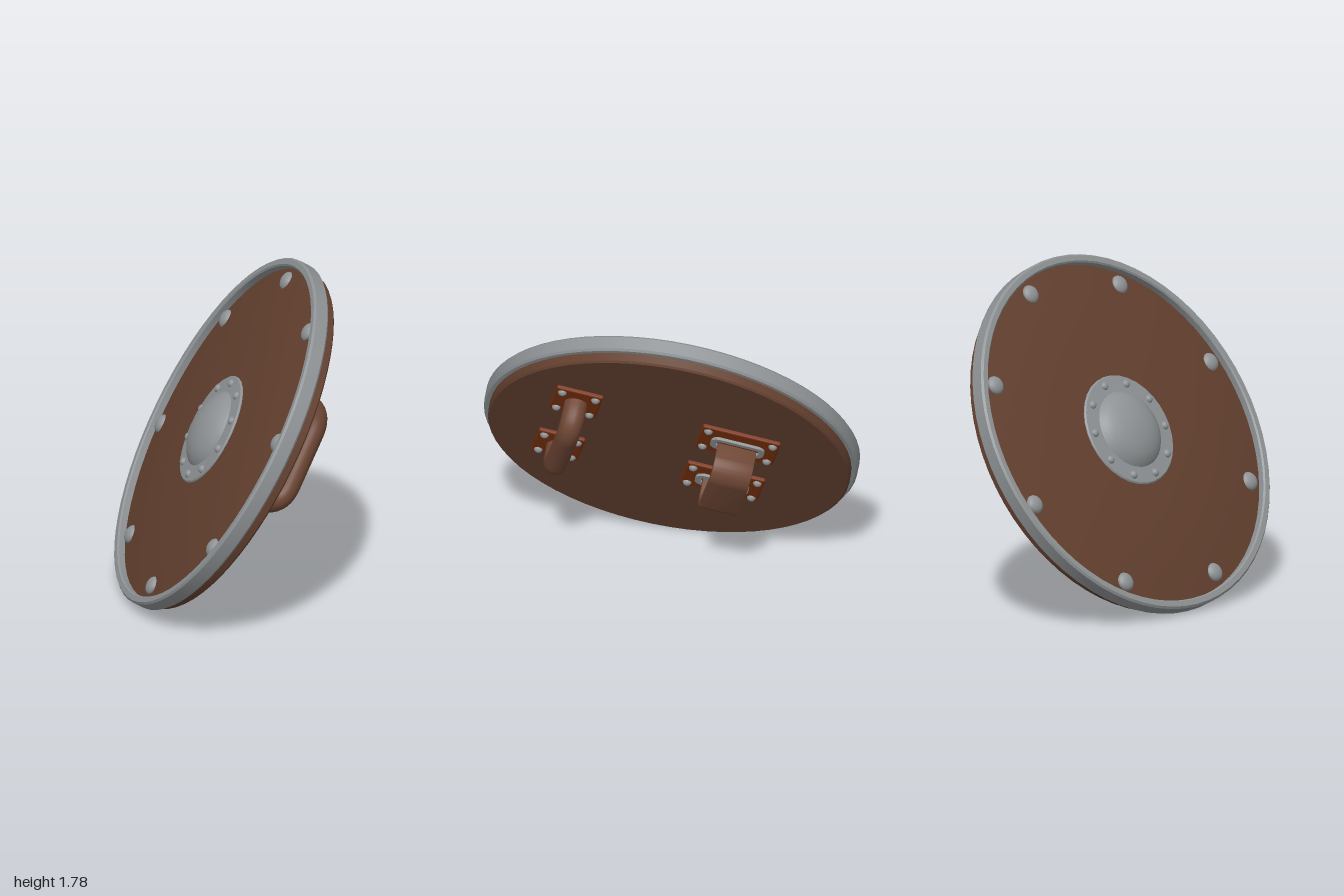
import * as THREE from 'three';
import { toCreasedNormals } from 'three/addons/utils/BufferGeometryUtils.js';
import { RoundedBoxGeometry } from 'three/addons/geometries/RoundedBoxGeometry.js';

const material = (name, color) => {
  const m = new THREE.MeshStandardMaterial({ color });
  m.name = name;
  return m;
};

export function createModel() {
  const wood = material('darkWood', 0x63402f);
  const leather = material('brownLeather', 0x6e4634);
  const patch = material('rustLeather', 0x782f0c);
  const metal = material('greyMetal', 0x8e9294);

  const model = new THREE.Group();
  model.name = 'roundShield';

  // Shield space: z points out of the front face, y up along the disc
  const shield = new THREE.Group();
  shield.name = 'shield';
  const n = new THREE.Vector3(-0.852, 0.497, 0.165).normalize();
  const v = new THREE.Vector3(n.y, -n.x, 0).normalize();
  const u = new THREE.Vector3().crossVectors(v, n);
  shield.quaternion.setFromRotationMatrix(new THREE.Matrix4().makeBasis(u, v, n));
  shield.position.set(-0.018, 0.899, 0);
  model.add(shield);

  const add = (parent, name, geometry, mat, x = 0, y = 0, z = 0) => {
    const mesh = new THREE.Mesh(geometry, mat);
    mesh.name = name;
    mesh.position.set(x, y, z);
    parent.add(mesh);
    return mesh;
  };

  // Turned shape around the z axis; profile holds [radius, height] pairs
  const turned = (profile, segments, crease = 0.5) => {
    const g = new THREE.LatheGeometry(profile.map(([r, h]) => new THREE.Vector2(r, h)), segments);
    g.rotateX(Math.PI / 2);
    return toCreasedNormals(g, crease);
  };

  // Round dome, facing +z (or -z when dir is -1)
  const dome = (radius, height, dir = 1) => {
    const g = new THREE.SphereGeometry(1, 16, 6, 0, Math.PI * 2, 0, Math.PI / 2);
    g.rotateX(dir * Math.PI / 2);
    return g.scale(radius, radius, height);
  };

  // Board with a gently domed front
  add(shield, 'board', turned([
    [0, -0.1], [0.965, -0.1], [0.975, -0.09], [0.975, 0], [0.885, 0.012],
    [0.74, 0.032], [0.5, 0.05], [0.25, 0.06], [0, 0.062],
  ], 64), wood);

  // Metal rim band
  add(shield, 'rim', turned([
    [0.96, -0.045], [0.997, -0.045], [1.007, -0.034], [1.007, 0.034],
    [0.997, 0.045], [0.968, 0.045], [0.96, 0.037], [0.96, -0.045],
  ], 64), metal);

  // Central boss with flange
  add(shield, 'boss', turned([
    [0.31, 0.035], [0.31, 0.062], [0.303, 0.069], [0.215, 0.073], [0.195, 0.096],
    [0.155, 0.12], [0.105, 0.138], [0.05, 0.148], [0, 0.15],
  ], 32), metal);
  const rivetFront = dome(0.023, 0.02);
  for (let i = 0; i < 10; i++) {
    const a = i * Math.PI / 5;
    add(shield, 'bossRivet', rivetFront, metal, 0.265 * Math.cos(a), 0.265 * Math.sin(a), 0.069);
  }

  // Large studs near the rim
  const stud = dome(0.052, 0.032);
  for (let i = 0; i < 8; i++) {
    const a = (i + 0.5) * Math.PI / 4;
    add(shield, 'stud', stud, metal, 0.885 * Math.cos(a), 0.885 * Math.sin(a), 0.009);
  }

  // Back fittings, turned a little on the board
  const fittings = new THREE.Group();
  fittings.name = 'backFittings';
  fittings.rotation.z = 0.375;
  fittings.position.z = -0.1;
  shield.add(fittings);

  // Riveted leather plate on the back
  const rivetBack = dome(0.024, 0.022, -1);
  const plate = (x, y, w, h) => {
    add(fittings, 'mountPlate', new RoundedBoxGeometry(w, h, 0.04, 2, 0.01), patch, x, y, 0);
    for (const sx of [-1, 1]) for (const sy of [-1, 1]) {
      add(fittings, 'plateRivet', rivetBack, metal,
        x + sx * (w / 2 - 0.037), y + sy * (h / 2 - 0.037), -0.018);
    }
  };

  // Round grip
  const gx = 0.555, cy = 0.018;
  for (const s of [-1, 1]) plate(gx, cy + s * 0.28, 0.255, 0.265);
  const grip = new THREE.CurvePath();
  const p = (y, z) => new THREE.Vector3(0, y, z);
  grip.add(new THREE.LineCurve3(p(-0.28, 0), p(-0.28, -0.05)));
  grip.add(new THREE.QuadraticBezierCurve3(p(-0.28, -0.05), p(-0.28, -0.165), p(-0.15, -0.165)));
  grip.add(new THREE.LineCurve3(p(-0.15, -0.165), p(0.15, -0.165)));
  grip.add(new THREE.QuadraticBezierCurve3(p(0.15, -0.165), p(0.28, -0.165), p(0.28, -0.05)));
  grip.add(new THREE.LineCurve3(p(0.28, -0.05), p(0.28, 0)));
  add(fittings, 'grip', new THREE.TubeGeometry(grip, 48, 0.062, 16), leather, gx, cy, 0);

  // Rounded rectangle outline
  const rounded = (Type, w, h, r) => {
    const s = new Type();
    const x = w / 2 - r, y = h / 2 - r;
    s.absarc(x, y, r, 0, Math.PI / 2);
    s.absarc(-x, y, r, Math.PI / 2, Math.PI);
    s.absarc(-x, -y, r, Math.PI, Math.PI * 1.5);
    s.absarc(x, -y, r, Math.PI * 1.5, Math.PI * 2);
    s.closePath();
    return s;
  };

  // Arm strap plates with metal slot frames
  const ax = -0.336;
  const frame = rounded(THREE.Shape, 0.29, 0.115, 0.045);
  frame.holes.push(rounded(THREE.Path, 0.235, 0.06, 0.025));
  const frameGeometry = new THREE.ExtrudeGeometry(frame, { depth: 0.02, bevelEnabled: false, curveSegments: 6 });
  for (const s of [-1, 1]) {
    plate(ax, cy + s * 0.24, 0.425, 0.265);
    add(fittings, 'slotFrame', frameGeometry, metal, ax, cy + s * 0.24, -0.036);
  }

  // Bent flat arm strap
  const a = 0.255, t = 0.035, depth = 0.225, r = 0.11;
  const bend = new THREE.Shape();
  bend.moveTo(a, 0);
  bend.absarc(a - r, depth - r, r, 0, Math.PI / 2);
  bend.absarc(r - a, depth - r, r, Math.PI / 2, Math.PI);
  bend.lineTo(-a, 0);
  bend.lineTo(t - a, 0);
  bend.absarc(r - a, depth - r, r - t, Math.PI, Math.PI / 2, true);
  bend.absarc(a - r, depth - r, r - t, Math.PI / 2, 0, true);
  bend.lineTo(a - t, 0);
  bend.closePath();
  const strap = new THREE.ExtrudeGeometry(bend, {
    depth: 0.2, bevelThickness: 0.006, bevelSize: 0.006, bevelOffset: -0.006, bevelSegments: 2, curveSegments: 10,
  });
  strap.translate(0, 0, -0.1);
  strap.applyMatrix4(new THREE.Matrix4().makeBasis(
    new THREE.Vector3(0, 1, 0), new THREE.Vector3(0, 0, -1), new THREE.Vector3(-1, 0, 0)));
  add(fittings, 'armStrap', toCreasedNormals(strap, 0.6), leather, ax, cy, 0);

  return model;
}
